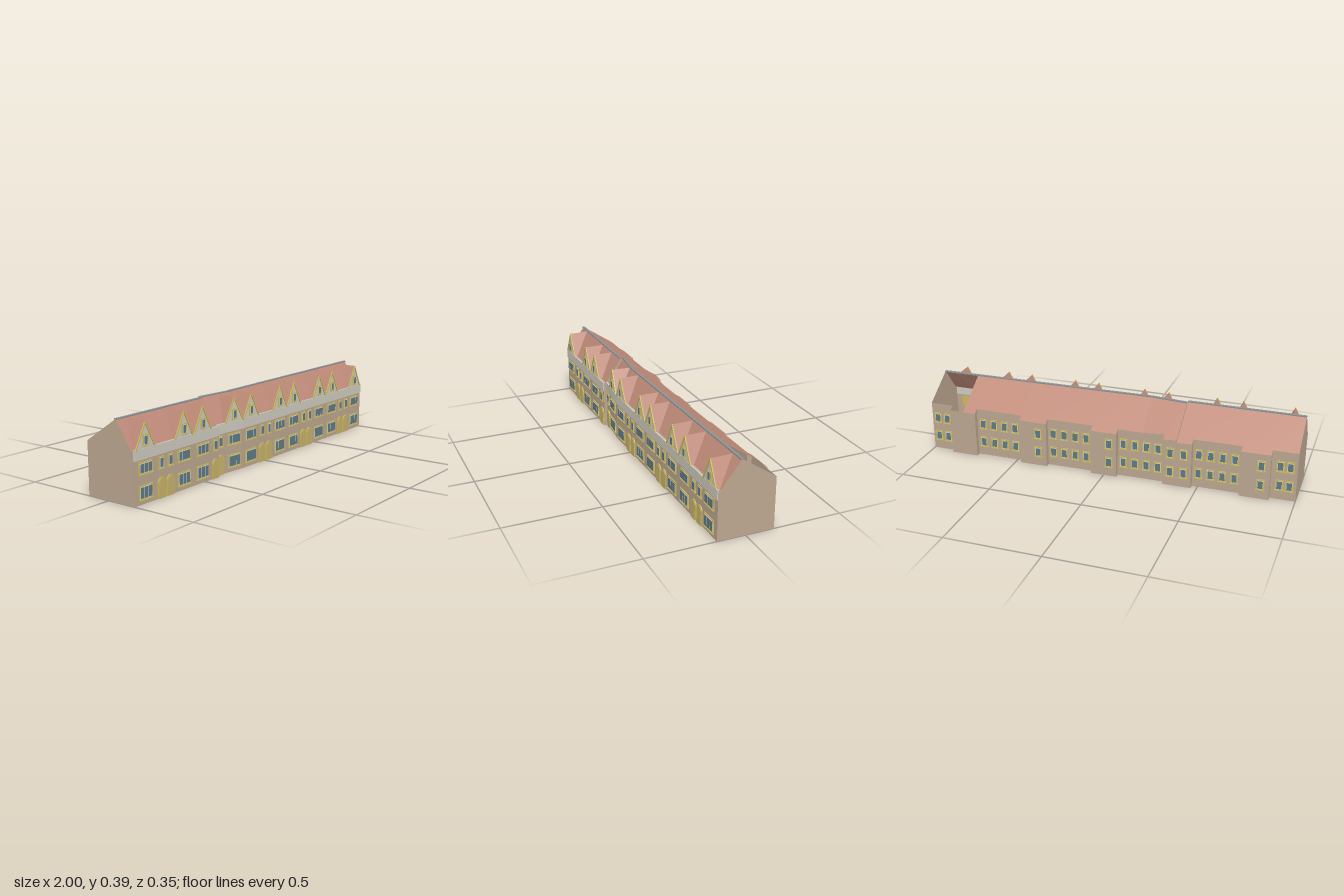
import * as THREE from 'three';

export function createModel() {
  const model = new THREE.Group();
  const mat = (name, color, side = THREE.FrontSide) => {
    const m = new THREE.MeshStandardMaterial({ color, side });
    m.name = name;
    return m;
  };
  const wall = mat('tan wall', 0xbda791, THREE.DoubleSide);
  const roof = mat('red roof tile', 0xc08b79, THREE.DoubleSide);
  const plaster = mat('pale plaster', 0xcfccc0, THREE.DoubleSide);
  const trim = mat('yellow trim', 0xcdbb5c);
  const doorPaint = mat('ochre door', 0xc7b26c);
  const glass = mat('blue grey glass', 0x607b86);
  const white = mat('white window bar', 0xdedcd2);
  const lead = mat('grey ridge', 0x8b9296);

  const EAVE = 0.256, RIDGE = 0.388, SLOPE = 0.675;
  // terrace sections, each with its own front and ridge line
  const sections = [
    { a: -1, b: -0.39, f: [0.162, 0.156], r: [0.057, 0.052] },
    { a: -0.39, b: -0.2, f: [0.136, 0.154], r: [0.035, 0.053] },
    { a: -0.2, b: 1, f: [0.154, 0.144], r: [0.053, 0.031] },
  ];
  const lerp = (p, t) => p[0] + (p[1] - p[0]) * t;
  const along = (s, key, x) => lerp(s[key], (x - s.a) / (s.b - s.a));
  const sectionAt = (x) => sections.find((s) => x <= s.b);

  // rear wings that stand out from the back wall
  const wings = [[-0.87, -0.72], [-0.47, -0.32], [-0.07, 0.07], [0.32, 0.47], [0.73, 0.875]];
  const inWing = (x) => wings.some(([a, b]) => x > a && x < b);
  const backZ = (x, wing) => -0.136 - 0.011 * x - (wing ? 0.026 : 0);
  const profile = (s, x, wing) => {
    const f = along(s, 'f', x), r = along(s, 'r', x), k = backZ(x, wing);
    return [[f, 0], [f, EAVE], [f - 0.013, EAVE], [r, RIDGE], [k, RIDGE - SLOPE * (r - k)], [k, 0]]
      .map(([z, y]) => [x, y, z]);
  };

  // mesh of flat polygons, each fanned from its first corner
  function faces(name, material, polys, parent = model) {
    const pos = [];
    for (const p of polys)
      for (let i = 1; i < p.length - 1; i++) pos.push(...p[0], ...p[i], ...p[i + 1]);
    const g = new THREE.BufferGeometry();
    g.setAttribute('position', new THREE.Float32BufferAttribute(pos, 3));
    g.computeVertexNormals();
    const m = new THREE.Mesh(g, material);
    m.name = name;
    parent.add(m);
  }
  function box(parent, name, material, w, h, d, x, y, z) {
    const m = new THREE.Mesh(new THREE.BoxGeometry(w, h, d), material);
    m.position.set(x, y, z);
    m.name = name;
    parent.add(m);
    return m;
  }

  // shell: walls, floor and roof bay by bay; the last bays have no rear slope
  const walls = [], slopes = [];
  for (const s of sections) {
    const cuts = [s.a, s.b, 0.8, ...wings.flat()]
      .filter((x) => x >= s.a && x <= s.b).sort((p, q) => p - q);
    for (let i = 0; i < cuts.length - 1; i++) {
      const a = cuts[i], b = cuts[i + 1], mid = (a + b) / 2;
      if (b - a < 1e-4) continue;
      const P = profile(s, a, inWing(mid)), Q = profile(s, b, inWing(mid));
      for (let j = 0; j < 6; j++) {
        const n = (j + 1) % 6;
        if (j === 3 && mid > 0.8) continue;
        (j === 2 || j === 3 ? slopes : walls).push([P[j], Q[j], Q[n], P[n]]);
      }
    }
    if (s.a < -0.3) walls.push(profile(s, s.a, inWing(s.a)));
    if (s.b !== -0.2) walls.push(profile(s, s.b, inWing(s.b)).reverse());
  }
  // side returns of the rear wings
  for (const wing of wings) wing.forEach((x, i) => {
    const s = sectionAt(x), near = profile(s, x, false), far = profile(s, x, true);
    const quad = [near[5], near[4], far[4], far[5]];
    walls.push(i ? quad.reverse() : quad);
  });
  faces('houseWalls', wall, walls);
  faces('mainRoof', roof, slopes);

  // group lying on the front wall at a given x, local +z outwards
  function onFront(name, x) {
    const s = sectionAt(x), g = new THREE.Group();
    g.name = name;
    g.position.set(x, 0, along(s, 'f', x));
    g.rotation.y = -Math.atan((s.f[1] - s.f[0]) / (s.b - s.a));
    model.add(g);
    return g;
  }
  function onBack(name, x, wing) {
    const g = new THREE.Group();
    g.name = name;
    g.position.set(x, 0, backZ(x, wing));
    g.rotation.y = Math.PI + 0.011;
    model.add(g);
    return g;
  }

  // framed window with glazing bars and a sill
  function windowUnit(g, y, w, h, bars) {
    box(g, 'windowFrame', trim, w + 0.012, h + 0.012, 0.005, 0, y, 0.002);
    box(g, 'windowSash', white, w, h, 0.002, 0, y, 0.005);
    const pane = w / (bars + 1);
    for (let i = 0; i <= bars; i++)
      box(g, 'windowGlass', glass, pane - 0.004, h - 0.005, 0.002, (i - bars / 2) * pane, y, 0.006);
    box(g, 'windowSill', trim, w + 0.016, 0.004, 0.008, 0, y - h / 2 - 0.006, 0.004);
  }

  // plaster band under the eaves and ridge cap
  for (const s of sections) {
    const mid = (s.a + s.b) / 2, len = s.b - s.a;
    box(onFront('eavesBand', mid), 'plasterBand', plaster, len, 0.05, 0.008, 0, 0.234, 0.001);
    const cap = box(model, 'ridgeCap', lead, len, 0.006, 0.014, mid, RIDGE, along(s, 'r', mid));
    cap.rotation.y = -Math.atan((s.r[1] - s.r[0]) / len);
  }

  // dormers with the large windows below them
  const H = 0.066, TOP = 0.381;
  for (const x of [-0.927, -0.66, -0.52, -0.26, -0.125, 0.136, 0.27, 0.528, 0.666, 0.923]) {
    const s = sectionAt(x), depth = along(s, 'f', x) - along(s, 'r', x);
    const g = onFront('frontBay', x);
    const apex = [0, TOP, 0.003], L = [-H, EAVE, 0.003], R = [H, EAVE, 0.003];
    const back = [0, TOP, -depth + 0.004];
    faces('dormerRoof', roof, [
      [apex, back, [-H, EAVE, -0.013], L],
      [apex, R, [H, EAVE, -0.013], back]], g);
    faces('dormerGable', plaster, [[L, R, apex]], g);
    // barge boards along the gable edges
    const run = Math.hypot(H, TOP - EAVE);
    for (const k of [-1, 1]) {
      const b = box(g, 'bargeBoard', trim, 0.006, run, 0.006, k * (H / 2 - 0.002), (TOP + EAVE) / 2 - 0.001, 0.004);
      b.rotation.z = k * Math.atan2(H, TOP - EAVE);
    }
    const dormer = new THREE.Group();
    dormer.name = 'dormerWindow';
    dormer.position.z = 0.003;
    g.add(dormer);
    windowUnit(dormer, 0.295, 0.022, 0.042, 0);
    windowUnit(g, 0.169, 0.08, 0.046, 2);
    windowUnit(g, 0.056, 0.08, 0.056, 2);
  }

  // arched doors in pairs, a small window above each
  function arch(w, h) {
    const sh = new THREE.Shape();
    sh.moveTo(-w / 2, 0);
    sh.lineTo(w / 2, 0);
    sh.lineTo(w / 2, h - w / 2);
    sh.absarc(0, h - w / 2, w / 2, 0, Math.PI);
    return sh;
  }
  const extrude = (shape, depth) =>
    new THREE.ExtrudeGeometry(shape, { depth, bevelEnabled: false, curveSegments: 10 });
  const surround = extrude(arch(0.054, 0.1), 0.005);
  const leaf = extrude(arch(0.044, 0.094), 0.007);
  for (const c of [-0.789, -0.39, 0.005, 0.4, 0.797]) for (const k of [-1, 1]) {
    const g = onFront('entrance', c + k * 0.031);
    const frame = new THREE.Mesh(surround, trim), door = new THREE.Mesh(leaf, doorPaint);
    frame.name = 'doorSurround';
    door.name = 'door';
    g.add(frame, door);
    windowUnit(g, 0.169, 0.024, 0.046, 0);
  }

  // rear windows on two floors
  const rear = [[-0.965, 0], [-0.915, 0], [0.91, 0], [0.965, 0],
    [-0.825, 1], [-0.43, 1], [-0.36, 1], [-0.03, 1], [0.365, 1]];
  for (const c of [-0.595, -0.195, 0.195, 0.6])
    for (const d of [-0.093, -0.031, 0.031, 0.093]) rear.push([c + d, 0]);
  for (const [x, wing] of rear) {
    const g = onBack('rearWindows', x, wing);
    for (const y of [0.08, 0.185]) windowUnit(g, y, 0.03, 0.046, 0);
  }
  return model;
}
